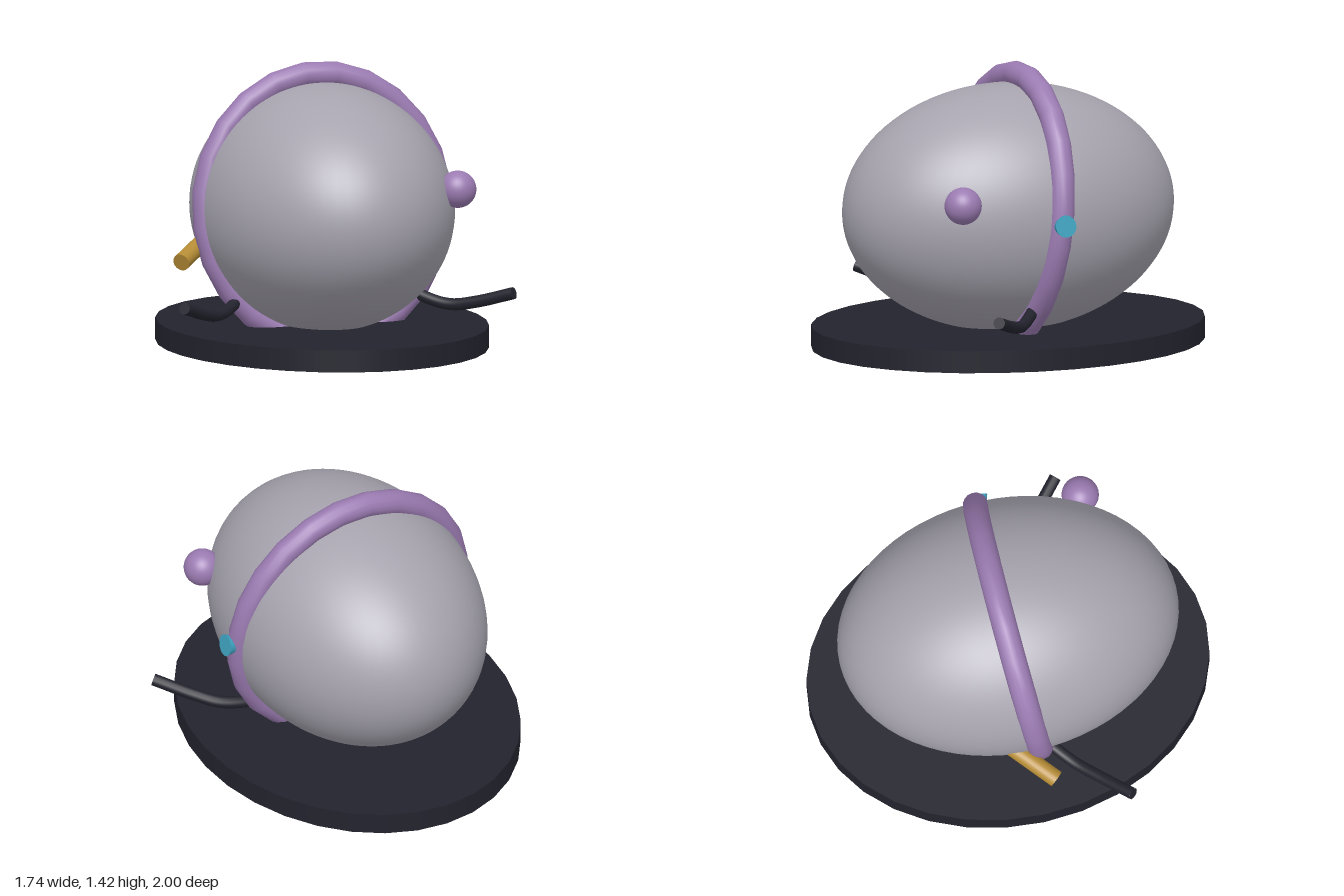
import * as THREE from 'three';

const material = (name, color) => {
  const m = new THREE.MeshStandardMaterial({ color });
  m.name = name;
  return m;
};

export function createModel() {
  const grey = material('pale grey', 0xa6a3ae);
  const purple = material('purple', 0x9b7bb2);
  const dark = material('dark navy', 0x23232e);
  const gold = material('gold', 0xb58c36);
  const cyan = material('cyan', 0x3fa2c0);

  const model = new THREE.Group();
  model.name = 'model';
  const add = (name, geometry, mat, position = [0, 0, 0], parent = model) => {
    const mesh = new THREE.Mesh(geometry, mat);
    mesh.name = name;
    mesh.position.set(...position);
    parent.add(mesh);
    return mesh;
  };

  // Cylinder or cone frustum between two points
  const rod = (name, from, to, r0, r1, mat) => {
    const a = new THREE.Vector3(...from);
    const b = new THREE.Vector3(...to);
    const dir = b.clone().sub(a);
    const mesh = add(name, new THREE.CylinderGeometry(r1, r0, dir.length(), 24), mat,
      a.clone().add(b).multiplyScalar(0.5).toArray());
    mesh.quaternion.setFromUnitVectors(new THREE.Vector3(0, 1, 0), dir.normalize());
    return mesh;
  };

  // Oval base plate
  add('base', new THREE.CylinderGeometry(1, 1, 0.11, 32).scale(0.8, 1, 1), dark, [0, 0.095, 0]);

  // Egg-shaped body
  add('body', new THREE.SphereGeometry(1, 64, 48).scale(0.63, 0.612, 0.85), grey, [0, 0.72, 0]);

  // Leaning hoop around the body
  const hoop = new THREE.TorusGeometry(0.657, 0.062, 16, 24)
    .rotateZ(Math.PI / 24 - 0.02).scale(0.935, 1, 1).rotateX(-0.112).rotateY(0.01);
  add('hoop', hoop, purple, [0, 0.718, 0]);

  // Side ball
  add('ball', new THREE.SphereGeometry(0.092, 32, 24), purple, [0.543, 0.85, 0.49]);

  // Flared knob on the hoop and slanted pipe on the other side
  rod('knob', [0.6, 0.719, 0], [0.69, 0.735, 0], 0.03, 0.055, cyan);
  rod('pipe', [-0.5, 0.595, -0.18], [-0.75, 0.485, 0.07], 0.043, 0.043, gold);

  // Mirrored bent handles with capped ends
  for (const s of [1, -1]) {
    const handle = new THREE.Group();
    handle.name = s > 0 ? 'leftHandle' : 'rightHandle';
    model.add(handle);
    const curve = new THREE.CatmullRomCurve3([
      [0.42, 0.315, 0.03], [0.5, 0.262, 0.11], [0.6, 0.235, 0.2], [0.7, 0.256, 0.295], [0.85, 0.312, 0.435],
    ].map(([x, y, z]) => new THREE.Vector3(s * x, y, z)));
    add('handleBar', new THREE.TubeGeometry(curve, 24, 0.03, 12), dark, [0, 0, 0], handle);
    for (const t of [0, 1]) {
      const cap = add('handleCap', new THREE.CircleGeometry(0.03, 12), dark, curve.getPoint(t).toArray(), handle);
      cap.quaternion.setFromUnitVectors(new THREE.Vector3(0, 0, 1),
        curve.getTangent(t).multiplyScalar(t ? 1 : -1));
    }
  }
  return model;
}
